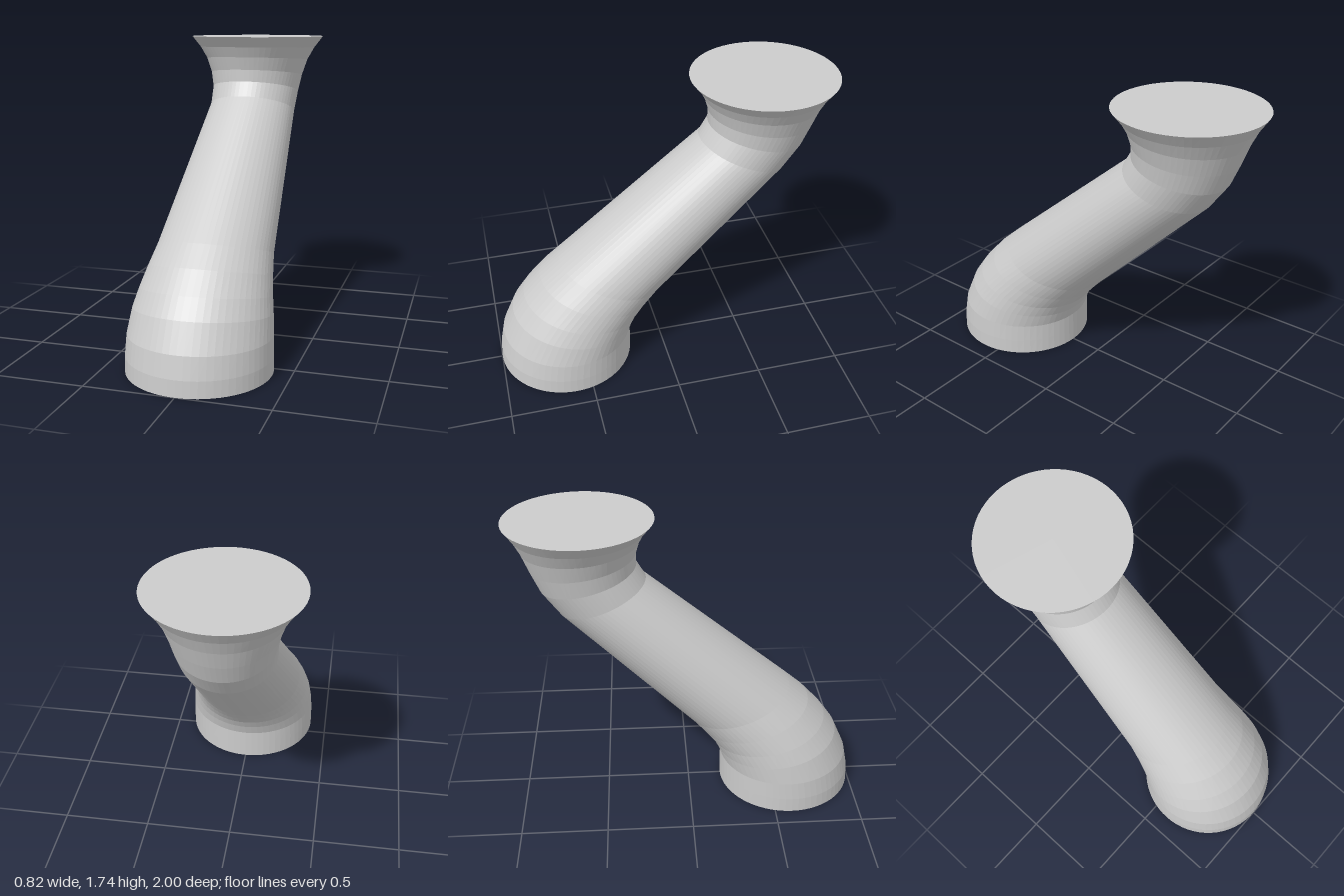
import * as THREE from 'three';

// Slanted cross-sections, bottom to top: front z, front y, back z, back y, half width
const SECTIONS = [
  [1.0, 0, 0.2, 0, 0.4],
  [0.995, 0.09, 0.2, 0.09, 0.4],
  [0.97, 0.21, 0.2, 0.19, 0.395],
  [0.9, 0.365, 0.175, 0.26, 0.382],
  [0.825, 0.47, 0.14, 0.325, 0.365],
  [0.72, 0.585, 0.08, 0.4, 0.345],
  [0.6, 0.69, 0, 0.49, 0.325],
  [-0.235, 1.39, -0.72, 1.21, 0.26],
  [-0.285, 1.475, -0.82, 1.35, 0.266],
  [-0.285, 1.545, -0.87, 1.47, 0.284],
  [-0.262, 1.62, -0.91, 1.58, 0.315],
  [-0.23, 1.68, -0.95, 1.665, 0.357],
  [-0.18, 1.74, -1.0, 1.74, 0.41],
];
const SIDES = 64;

// Loft elliptical rings through the sections
function loftPipe() {
  const positions = [], indices = [];
  for (const [fz, fy, bz, by, w] of SECTIONS) {
    for (let j = 0; j < SIDES; j++) {
      const a = (j / SIDES) * Math.PI * 2;
      const s = Math.sin(a) / 2;
      positions.push(w * Math.cos(a), (fy + by) / 2 + (fy - by) * s, (fz + bz) / 2 + (fz - bz) * s);
    }
  }
  for (let i = 0; i < SECTIONS.length - 1; i++) {
    for (let j = 0; j < SIDES; j++) {
      const k = (j + 1) % SIDES;
      const a = i * SIDES + j, b = i * SIDES + k;
      indices.push(a, a + SIDES, b, b, a + SIDES, b + SIDES);
    }
  }
  const geometry = new THREE.BufferGeometry();
  geometry.setAttribute('position', new THREE.Float32BufferAttribute(positions, 3));
  geometry.setIndex(indices);
  geometry.computeVertexNormals();
  return geometry;
}

export function createModel() {
  const group = new THREE.Group();
  group.name = 'bentPipe';
  const material = new THREE.MeshStandardMaterial({ color: 0xcccccc, flatShading: true });

  // Curved body with flared upper mouth
  const body = new THREE.Mesh(loftPipe(), material);
  body.name = 'pipeBody';
  group.add(body);

  // Flat end discs
  const addCap = (name, [fz, y, bz, , w], facing) => {
    const cap = new THREE.Mesh(new THREE.CircleGeometry(1, SIDES), material);
    cap.name = name;
    cap.scale.set(w, (fz - bz) / 2, 1);
    cap.rotation.x = -facing * Math.PI / 2;
    cap.position.set(0, y, (fz + bz) / 2);
    group.add(cap);
  };
  addCap('bottomCap', SECTIONS[0], -1);
  addCap('topCap', SECTIONS[SECTIONS.length - 1], 1);
  return group;
}
